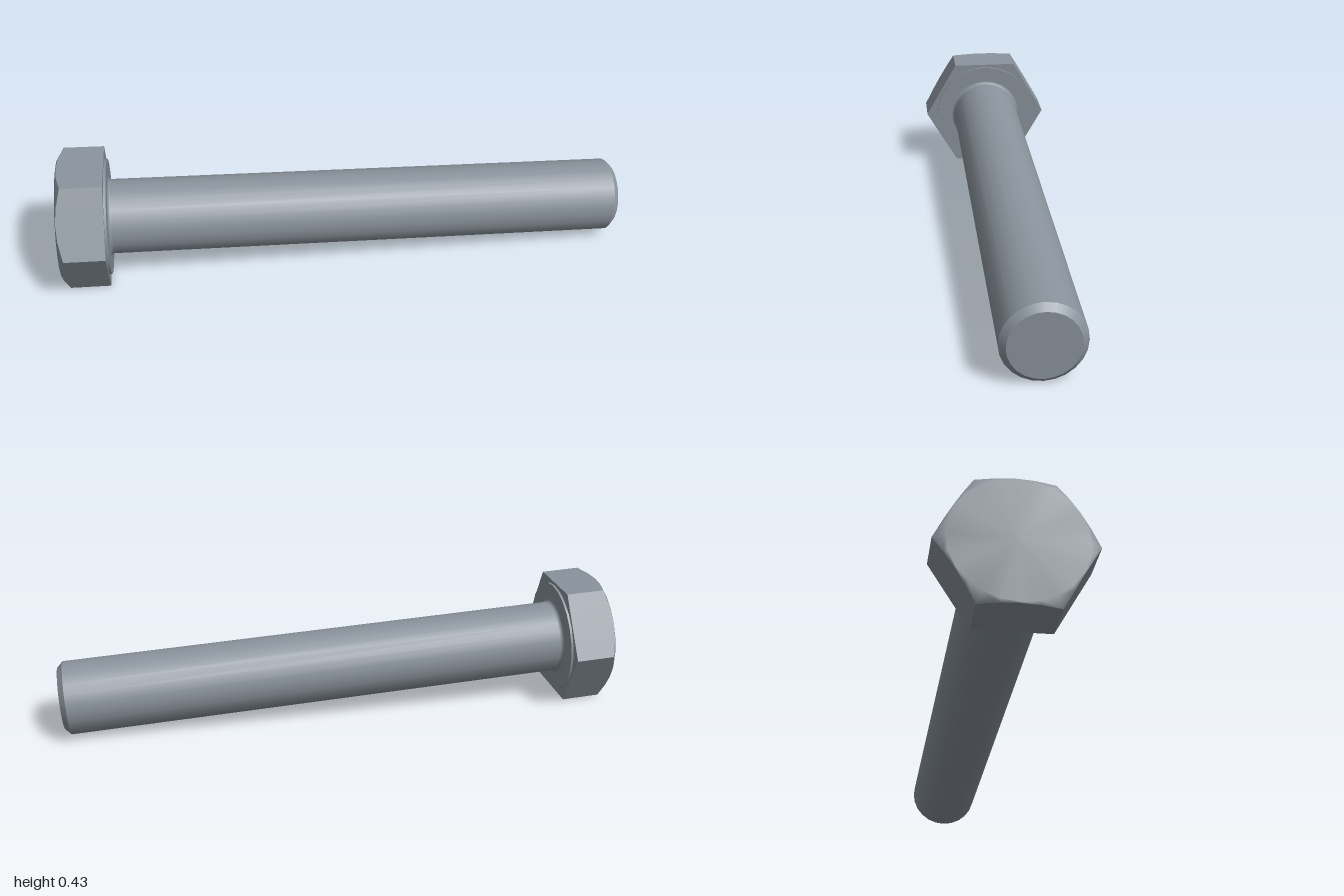
import * as THREE from 'three';

const SIDES = 24;                 // segments around the round parts
const APOTHEM = 0.212;            // half the width across the head's flats
const HEAD_H = 0.158, FACE_R = 0.209;
const SHAFT_R = 0.13, LENGTH = 1.819, CHAMFER = 0.02;
const WASHER_R = 0.202, WASHER_H = 0.008, FILLET = 0.012;

const steel = new THREE.MeshStandardMaterial({ color: 0x8a939c });
steel.name = 'steel grey';

function part(name, geometry) {
  const mesh = new THREE.Mesh(geometry, steel);
  mesh.name = name;
  return mesh;
}

function lathe(name, points) {
  return part(name, new THREE.LatheGeometry(points.map(([r, y]) => new THREE.Vector2(r, y)), SIDES));
}

// point on the hexagon outline at a given angle, corners on the x axis
function hexRadius(a) {
  const sector = Math.PI / 3;
  return APOTHEM / Math.cos((a % sector) - sector / 2);
}

function build(vertices, index) {
  const g = new THREE.BufferGeometry();
  g.setAttribute('position', new THREE.Float32BufferAttribute(vertices, 3));
  g.setIndex(index);
  return g;
}

function createHead() {
  const head = new THREE.Group();
  head.name = 'head';
  const crown = [0, -HEAD_H, 0], crownIndex = [];
  const walls = [], wallIndex = [];
  for (let i = 0; i < SIDES; i++) {
    const a = (i / SIDES) * Math.PI * 2;
    const c = Math.cos(a), s = Math.sin(a), r = hexRadius(a);
    // the 30 degree chamfer drops away from the flat face towards the corners
    const y = -HEAD_H + Math.tan(Math.PI / 6) * (r - FACE_R);
    crown.push(c * FACE_R, -HEAD_H, s * FACE_R, c * r, y, s * r);
    walls.push(c * r, 0, s * r, c * r, y, s * r);
    const n = (i + 1) % SIDES;
    const p = 1 + i * 2, q = 1 + n * 2;
    crownIndex.push(0, p, q, p, p + 1, q + 1, p, q + 1, q);
    const b = i * 2, e = n * 2;
    wallIndex.push(b + 1, b, e, b + 1, e, e + 1);
  }
  const crownGeometry = build(crown, crownIndex);
  crownGeometry.computeVertexNormals();
  const wallGeometry = build(walls, wallIndex).toNonIndexed();
  wallGeometry.computeVertexNormals();
  const under = new THREE.CircleGeometry(APOTHEM / Math.cos(Math.PI / 6), 6).rotateX(-Math.PI / 2);
  head.add(part('headCrown', crownGeometry), part('headFlats', wallGeometry), part('headUnderside', under));
  return head;
}

function createShaft() {
  const shaft = new THREE.Group();
  shaft.name = 'shaft';
  // washer face under the head
  shaft.add(
    lathe('washerRim', [[WASHER_R, 0], [WASHER_R, WASHER_H]]),
    lathe('washerFace', [[WASHER_R, WASHER_H], [SHAFT_R + FILLET, WASHER_H]])
  );
  // fillet blending into the shank
  const fillet = [];
  for (let i = 0; i <= 4; i++) {
    const t = (i / 4) * Math.PI / 2;
    fillet.push([SHAFT_R + FILLET * (1 - Math.sin(t)), WASHER_H + FILLET * (1 - Math.cos(t))]);
  }
  const shankEnd = LENGTH - CHAMFER;
  shaft.add(
    lathe('fillet', fillet),
    lathe('shank', [[SHAFT_R, WASHER_H + FILLET], [SHAFT_R, shankEnd]]),
    lathe('tipChamfer', [[SHAFT_R, shankEnd], [SHAFT_R - CHAMFER, LENGTH]]),
    lathe('tipFace', [[SHAFT_R - CHAMFER, LENGTH], [0, LENGTH]])
  );
  return shaft;
}

export function createModel() {
  const bolt = new THREE.Group();
  bolt.name = 'bolt';
  bolt.add(createHead(), createShaft());

  // lay the bolt down, resting on a head flat and the tip
  const axis = new THREE.Vector3(1, -0.047, 0.2127).normalize();
  const corner = new THREE.Vector3(-axis.z, 0, axis.x).normalize();
  const flat = new THREE.Vector3().crossVectors(corner, axis);
  bolt.quaternion.setFromRotationMatrix(new THREE.Matrix4().makeBasis(corner, axis, flat));
  bolt.position.set(-0.8025, 0.2135, -0.116);

  const model = new THREE.Group();
  model.name = 'hexBolt';
  model.add(bolt);
  return model;
}
